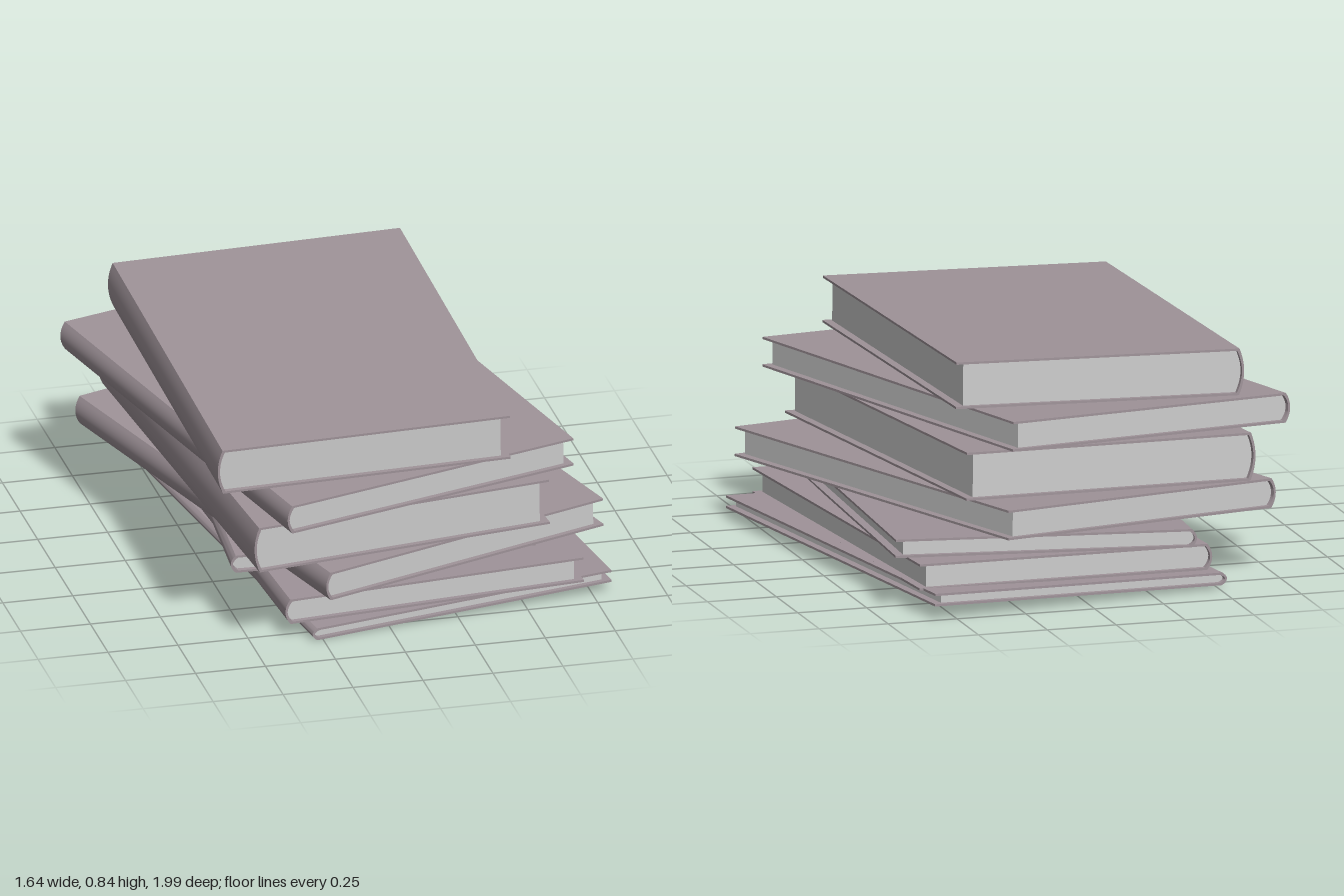
import * as THREE from 'three';
import { toCreasedNormals } from 'three/addons/utils/BufferGeometryUtils.js';

const coverMaterial = new THREE.MeshStandardMaterial({ color: 0x9f9399 });
const pageMaterial = new THREE.MeshStandardMaterial({ color: 0xcccccc });

const BOARD = 0.008; // cover thickness
const BULGE = 0.018; // how far the rounded spine swells out

// Extrude a cross-section along z, centred
function extrude(shape, length) {
  const geometry = new THREE.ExtrudeGeometry(shape, { depth: length, bevelEnabled: false, curveSegments: 10 });
  geometry.translate(0, 0, -length / 2);
  return toCreasedNormals(geometry, 0.6);
}

// One hardback with its rounded spine on -x
function createBook(width, length, thickness) {
  const book = new THREE.Group();
  const right = width / 2;
  const hinge = -width / 2 + BULGE;
  const h = thickness / 2;
  const inner = h - BOARD;

  // C-shaped cover: lower board, spine, upper board
  const c = new THREE.Shape();
  c.moveTo(right, -h);
  c.lineTo(right, -inner);
  c.lineTo(hinge + BOARD, -inner);
  c.quadraticCurveTo(hinge + BOARD - 2 * BULGE, 0, hinge + BOARD, inner);
  c.lineTo(right, inner);
  c.lineTo(right, h);
  c.lineTo(hinge, h);
  c.quadraticCurveTo(hinge - 2 * BULGE, 0, hinge, -h);
  c.closePath();
  const cover = new THREE.Mesh(extrude(c, length), coverMaterial);
  cover.name = 'cover';

  // Page block, set back from the board edges
  const fore = right - 0.03;
  const p = new THREE.Shape();
  p.moveTo(fore, -inner);
  p.lineTo(fore, inner);
  p.lineTo(hinge + BOARD, inner);
  p.quadraticCurveTo(hinge + BOARD - 2 * BULGE, 0, hinge + BOARD, -inner);
  p.closePath();
  const pages = new THREE.Mesh(extrude(p, length - 0.036), pageMaterial);
  pages.name = 'pages';

  book.add(cover, pages);
  return book;
}

// Bottom to top: size, centre, yaw in degrees, rise per unit of +x and of -z
const books = [
  { size: [1.12, 1.687, 0.045], at: [0.145, 0.048, -0.085], yaw: 8.2, rise: [0.032, 0.012] },
  { size: [1.085, 1.627, 0.093], at: [0.115, 0.117, -0.058], yaw: 3.6, rise: [0.015, 0.011] },
  { size: [1.073, 1.41, 0.065], at: [0.085, 0.198, -0.163], yaw: -4, rise: [0.02, 0.02] },
  { size: [1.12, 1.688, 0.105], at: [0.02, 0.285, -0.02], yaw: 16.9, rise: [0.022, 0.027] },
  { size: [1.085, 1.627, 0.17], at: [-0.05, 0.427, 0.03], yaw: 5.5, rise: [0.022, 0.029] },
  { size: [1.12, 1.688, 0.105], at: [-0.075, 0.576, 0.04], yaw: 13.7, rise: [0.022, 0.031] },
  { size: [1.045, 1.56, 0.165], at: [-0.113, 0.722, 0.08], yaw: 0, rise: [0.022, 0.029] },
];

export function createModel() {
  const model = new THREE.Group();
  model.name = 'bookStack';
  const up = new THREE.Vector3(0, 1, 0);
  books.forEach(({ size, at, yaw, rise }, i) => {
    const book = createBook(...size);
    book.name = `book${i + 1}`;
    book.position.set(...at);
    // Lean the book with the stack after turning it about its upright axis
    const normal = new THREE.Vector3(-rise[0], 1, rise[1]).normalize();
    const turn = new THREE.Quaternion().setFromAxisAngle(up, THREE.MathUtils.degToRad(yaw));
    book.quaternion.setFromUnitVectors(up, normal).multiply(turn);
    model.add(book);
  });
  return model;
}
